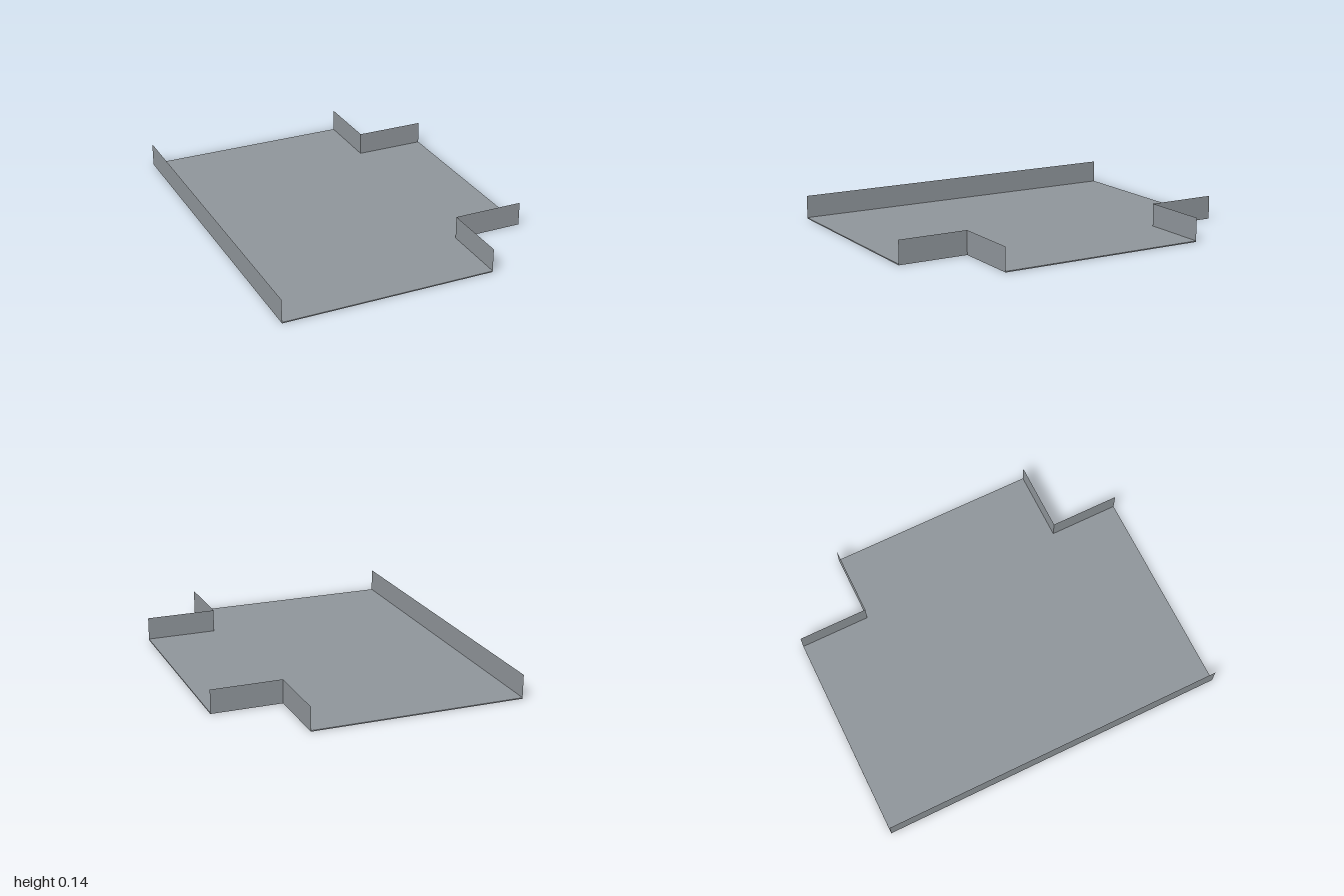
import * as THREE from 'three';

const WALL_HEIGHT = 0.135;
const FLOOR_THICKNESS = 0.006;

export function createModel() {
  const group = new THREE.Group();
  group.name = 'junctionFloorTile';

  const grey = new THREE.MeshStandardMaterial({ color: 0x8f959a, side: THREE.DoubleSide });
  grey.name = 'panel grey';

  // T-shaped floor slab with two notched corners on the +x side
  const outline = [
    [-0.8, -1], [0.4, -1], [0.4, -0.6], [0.8, -0.6],
    [0.8, 0.6], [0.4, 0.6], [0.4, 1], [-0.8, 1],
  ].map(([x, y]) => new THREE.Vector2(x, y));
  const floorGeometry = new THREE.ExtrudeGeometry(new THREE.Shape(outline), {
    depth: FLOOR_THICKNESS,
    bevelEnabled: false,
  });
  floorGeometry.rotateX(-Math.PI / 2);
  const floor = new THREE.Mesh(floorGeometry, grey);
  floor.name = 'floor';
  group.add(floor);

  // Thin upright wall between two points on the ground
  function addWall(name, x1, z1, x2, z2) {
    const length = Math.hypot(x2 - x1, z2 - z1);
    const wall = new THREE.Mesh(new THREE.PlaneGeometry(length, WALL_HEIGHT), grey);
    wall.name = name;
    wall.position.set((x1 + x2) / 2, WALL_HEIGHT / 2, (z1 + z2) / 2);
    wall.rotation.y = -Math.atan2(z2 - z1, x2 - x1);
    group.add(wall);
  }

  // Long wall on the closed side
  addWall('longWall', -0.8, 1, -0.8, -1);

  // L-shaped corner walls around each notch
  for (const [label, s] of [['front', 1], ['back', -1]]) {
    addWall(label + 'NotchSideWall', 0.4, s, 0.4, s * 0.6);
    addWall(label + 'NotchEndWall', 0.4, s * 0.6, 0.8, s * 0.6);
  }

  return group;
}
